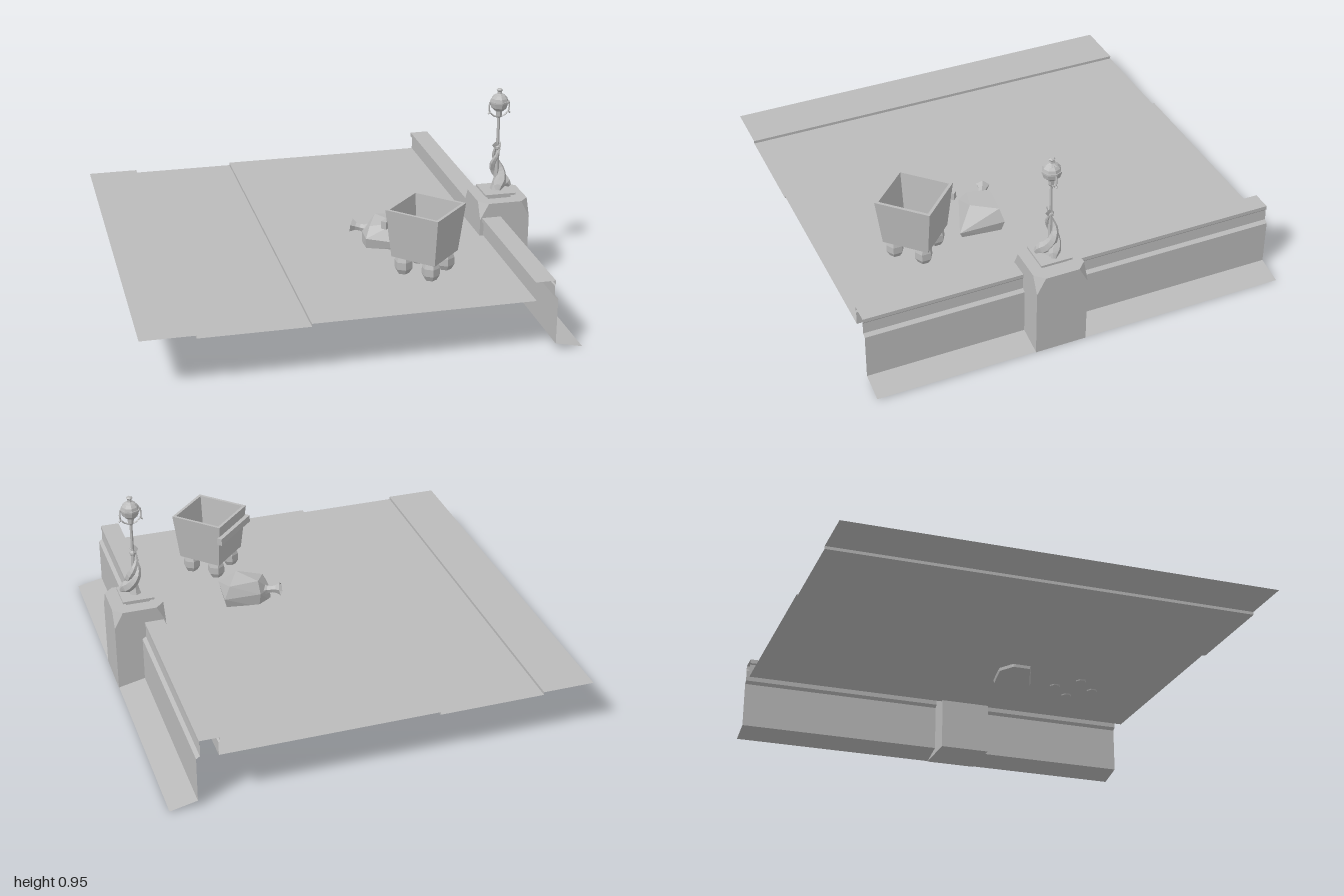
import * as THREE from 'three';
import { ConvexGeometry } from 'three/addons/geometries/ConvexGeometry.js';

const stone = new THREE.MeshStandardMaterial({ color: 0xbababa, flatShading: true, side: THREE.DoubleSide });
stone.name = 'stone grey';

function add(parent, name, geometry, x = 0, y = 0, z = 0) {
  let g = geometry;
  if (g.index) g = g.toNonIndexed();
  g.computeVertexNormals();
  const mesh = new THREE.Mesh(g, stone);
  mesh.name = name;
  mesh.position.set(x, y, z);
  parent.add(mesh);
  return mesh;
}

function group(parent, name, x = 0, y = 0, z = 0) {
  const g = new THREE.Group();
  g.name = name;
  g.position.set(x, y, z);
  parent.add(g);
  return g;
}

// Open sheet: a profile of [x, y] points swept along z
function sheet(profile) {
  const pos = [];
  for (let i = 0; i + 1 < profile.length; i++) {
    const [a, b] = profile[i], [c, d] = profile[i + 1];
    pos.push(a, b, 1, c, d, 1, c, d, -1, a, b, 1, c, d, -1, a, b, -1);
  }
  return new THREE.BufferGeometry().setAttribute('position', new THREE.Float32BufferAttribute(pos, 3));
}

// Tube whose radius follows a function of its length
function taperedTube(points, radius, steps, sides) {
  const curve = new THREE.CatmullRomCurve3(points.map(p => new THREE.Vector3(...p)));
  const g = new THREE.TubeGeometry(curve, steps, 1, sides);
  const p = g.attributes.position, v = new THREE.Vector3();
  for (let i = 0; i < p.count; i++) {
    const t = Math.floor(i / (sides + 1)) / steps;
    const c = curve.getPointAt(t);
    v.fromBufferAttribute(p, i).sub(c).multiplyScalar(radius(t)).add(c);
    p.setXYZ(i, v.x, v.y, v.z);
  }
  return g;
}

const lathe = (pts, sides) => new THREE.LatheGeometry(pts.map(p => new THREE.Vector2(...p)), sides);
const hull = pts => new ConvexGeometry(pts.map(p => new THREE.Vector3(...p)));

export function createModel() {
  const model = new THREE.Group();
  model.name = 'embankmentStreet';

  // Pavements with a sunken road between them
  add(model, 'pavementAndRoad', sheet([
    [-0.995, 0.25], [-0.75, 0.25], [-0.75, 0.236], [-0.25, 0.236], [-0.25, 0.25], [0.765, 0.25],
  ]));
  // Parapet with a coping, outer river wall and sloping foreshore
  add(model, 'parapetWall', sheet([
    [0.765, 0.25], [0.765, 0.315], [0.757, 0.32], [0.757, 0.34], [0.85, 0.34], [0.85, 0.322],
    [0.845, 0.315], [0.848, 0.262], [0.865, 0.25], [0.865, 0.03],
  ]));
  add(model, 'foreshore', sheet([[0.865, 0.03], [0.992, 0.002]]));

  // Pedestal with its top corners cut off
  const h = 0.123, cut = 0.042, block = [];
  for (const sx of [-1, 1]) for (const sz of [-1, 1]) {
    block.push([sx * h, 0, sz * h], [sx * h, 0.33, sz * h]);
    block.push([sx * (h - cut), 0.41, sz * h], [sx * h, 0.41, sz * (h - cut)]);
  }
  add(model, 'pedestal', hull(block), 0.87, 0, 0.123);

  // Lamp standard
  const lamp = group(model, 'lamp', 0.862, 0, 0.125);
  add(lamp, 'plinthNeck', new THREE.BoxGeometry(0.115, 0.02, 0.115), 0, 0.418, 0);
  add(lamp, 'plinthPlate', new THREE.BoxGeometry(0.15, 0.01, 0.15), 0, 0.432, 0);
  add(lamp, 'post', lathe([
    [0.03, 0.437], [0.022, 0.46], [0.012, 0.5], [0.01, 0.64], [0.015, 0.645], [0.015, 0.655],
    [0.008, 0.665], [0.007, 0.8], [0.014, 0.81], [0.016, 0.835],
  ], 6));
  add(lamp, 'globe', new THREE.SphereGeometry(0.045, 8, 6), 0, 0.877, 0);
  add(lamp, 'globeBand', new THREE.CylinderGeometry(0.047, 0.047, 0.008, 8), 0, 0.882, 0);
  add(lamp, 'finial', lathe([
    [0.03, 0.912], [0.012, 0.922], [0.01, 0.932], [0.016, 0.94], [0.01, 0.946], [0, 0.946],
  ], 6));
  // Curled arms beside the globe
  for (const s of [-1, 1]) {
    add(lamp, 'lampArm', taperedTube([
      [s * 0.008, 0.805, 0], [s * 0.03, 0.815, 0], [s * 0.046, 0.83, 0], [s * 0.056, 0.822, 0],
    ], () => 0.004, 6, 4));
    add(lamp, 'lampArm', taperedTube([
      [s * 0.046, 0.83, 0], [s * 0.05, 0.85, 0], [s * 0.047, 0.882, 0],
    ], () => 0.004, 4, 4));
  }
  // Two carved fish winding up the post
  for (const [i, turn] of [0, -Math.PI / 2].entries()) {
    const fish = group(lamp, 'fish');
    fish.rotation.y = turn;
    add(fish, 'fishBody', taperedTube([
      [0.066, 0.452, 0.012], [0.05, 0.468, 0.005], [0.02, 0.495, -0.018], [-0.006, 0.53, -0.022],
      [-0.018, 0.57, -0.004], [-0.008, 0.61, 0.014], [0.006, 0.645 + i * 0.01, 0.012],
    ], t => 0.034 * Math.min(1, 0.3 + t * 5) * (1 - t * 0.85), 12, 6));
    add(fish, 'fishTail', hull([
      [0.004, 0.64, 0.012], [0.012, 0.685, 0.012], [0.008, 0.665, 0.03], [0.01, 0.665, 0.0],
    ]));
  }

  // Square tapering bin set cornerwise, hollow and footed
  const bin = group(model, 'bin', 0.375, 0, 0.572);
  add(bin, 'binShell', lathe([
    [0, 0.335], [0.158, 0.335], [0.19, 0.565], [0.17, 0.565], [0.138, 0.36], [0, 0.36],
  ], 4));
  for (const [x, z] of [[1, 0], [-1, 0], [0, 1], [0, -1]]) {
    add(bin, 'binFoot', lathe([
      [0, 0.245], [0.025, 0.245], [0.042, 0.275], [0.042, 0.31], [0.032, 0.337],
    ], 6), x * 0.1, 0, z * 0.1);
  }
  const bar = add(bin, 'binHandle', new THREE.BoxGeometry(0.285, 0.036, 0.026), -0.097, 0.492, -0.097);
  bar.rotation.y = Math.PI / 4;

  // Tied sack lying on the pavement
  const sack = group(model, 'sack');
  add(sack, 'sackBody', hull([
    [0.18, 0.235, 0.18], [0.25, 0.235, 0.135], [0.405, 0.235, 0.16], [0.385, 0.235, 0.34], [0.18, 0.235, 0.265],
    [0.18, 0.3, 0.18], [0.245, 0.31, 0.125], [0.42, 0.3, 0.145], [0.395, 0.28, 0.36], [0.175, 0.3, 0.275],
    [0.25, 0.372, 0.15], [0.39, 0.36, 0.16], [0.325, 0.372, 0.28], [0.2, 0.35, 0.245],
  ]));
  add(sack, 'sackNeck', taperedTube([
    [0.215, 0.305, 0.175], [0.18, 0.31, 0.157], [0.14, 0.318, 0.135],
  ], t => 0.016 + 0.07 * Math.pow(t - 0.5, 2), 4, 5));
  return model;
}
